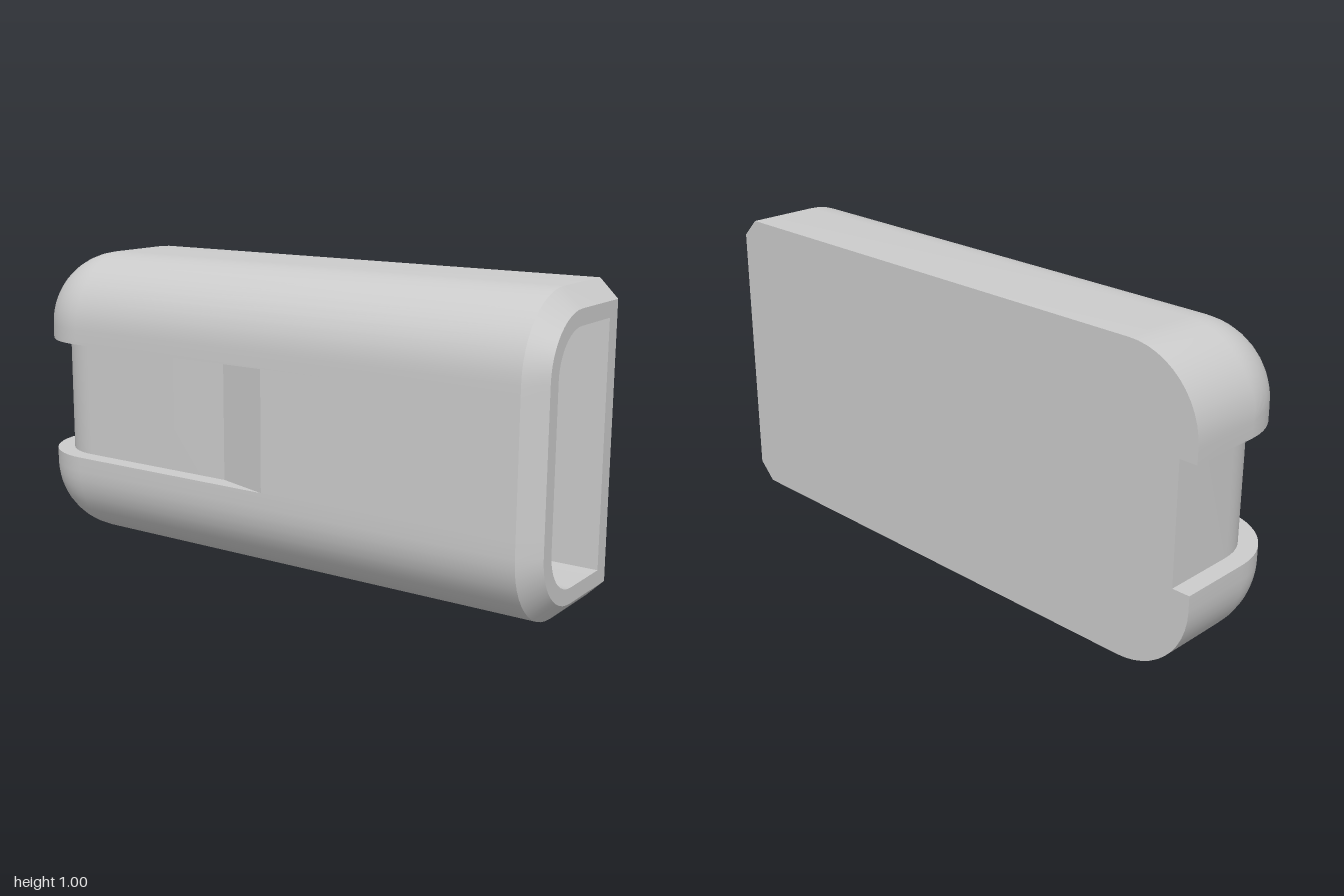
import * as THREE from 'three';
import { mergeGeometries, toCreasedNormals } from 'three/addons/utils/BufferGeometryUtils.js';

const SEG = 12;          // segments per rounded quarter
const BACK = -0.25;      // flat back plane
const SLOT = [0.3, 0.7]; // lower and upper edge of the thumb recess
const quarter = Array.from({ length: SEG + 1 }, (_, i) => (i / SEG) * Math.PI / 2);

// Skin between rows of points; each row is an equally long list of [x, y, z]
function loft(rows) {
  const pos = [];
  const tri = (...p) => {
    const [a, b, c] = p.map((q) => new THREE.Vector3(...q));
    if (b.clone().sub(a).cross(c.clone().sub(a)).length() > 1e-9) pos.push(...p.flat());
  };
  for (let i = 0; i + 1 < rows.length; i++) {
    for (let j = 0; j + 1 < rows[i].length; j++) {
      const a = rows[i][j], b = rows[i][j + 1], c = rows[i + 1][j], d = rows[i + 1][j + 1];
      tri(a, b, c);
      tri(c, b, d);
    }
  }
  const g = new THREE.BufferGeometry();
  g.setAttribute('position', new THREE.Float32BufferAttribute(pos, 3));
  return g;
}

// Mirror rows top to bottom, keeping the faces outward
const mirrorY = (rows) => rows.map((r) => r.map(([x, y, z]) => [x, 1 - y, z]).reverse());
const reversed = (rows) => rows.map((r) => [...r].reverse());

// Lower half of the cross-section: rounded front corner, then flat to the back
const halfSection = (x, r, back) => [
  ...quarter.map((t) => [x, 0.25 - r * Math.sin(t), r * Math.cos(t)]),
  [x, 0.25 - r, back],
];

// Closed cross-section made of both halves
function fullSection(x, r, back) {
  const half = halfSection(x, r, back);
  return [...half, ...mirrorY([half])[0], half[0]];
}

// Stations [x, corner radius] along the rounded closed end
const roundedEnd = (r) => quarter.map((t) => [-0.75 - r * Math.cos(t), r * Math.sin(t)]);

export function createModel() {
  const group = new THREE.Group();
  const material = new THREE.MeshStandardMaterial({ color: 0xcccccc });
  const add = (name, ...parts) => {
    const mesh = new THREE.Mesh(toCreasedNormals(mergeGeometries(parts), 0.22), material);
    mesh.name = name;
    group.add(mesh);
  };

  // Lower and upper shell with rounded end, rounded front edge and chamfered mouth
  const shell = [...roundedEnd(0.25), [0.94, 0.25], [1, 0.19]].map(([x, r]) => [
    [x, SLOT[0], r], ...halfSection(x, r, BACK), [x, SLOT[0], BACK],
  ]);
  const endFace = [0.25, SLOT[0]].map((y) => [[-1, y, BACK], [-1, y, 0]]);
  add('lowerShell', loft(shell), loft(endFace));
  add('upperShell', loft(mirrorY(shell)), loft(mirrorY(endFace)));

  // Thumb recess: sunken wall wrapping the end, with a ramp back to the surface
  const outer = [[-1, BACK], ...roundedEnd(0.25), [-0.15, 0.25], [0.045, 0.25]];
  const inner = [[-0.94, BACK], ...roundedEnd(0.19), [-0.15, 0.19], [0.045, 0.25]];
  const wall = [...inner, [0.94, 0.25], [1, 0.19]];
  const at = (line, y) => line.map(([x, z]) => [x, y, z]);
  add('recessedBand', loft(SLOT.map((y) => at(wall, y))));
  const ledge = [at(outer, SLOT[0]), at(inner, SLOT[0])];
  add('recessLowerLedge', loft(ledge));
  add('recessUpperLedge', loft(mirrorY(ledge)));
  add('backPanel', loft([-0.94, 1].map((x) => SLOT.map((y) => [x, y, BACK]))));

  // Mouth rim and the hollow inside
  add('mouthRim', loft([fullSection(1, 0.19, BACK), fullSection(1, 0.14, -0.195)]));
  const hollow = [...roundedEnd(0.14), [1, 0.14]].map(([x, r]) => fullSection(x, r, -0.195));
  const hollowEnd = [0.25, 0.75].map((y) => [[-0.89, y, -0.195], [-0.89, y, 0]]);
  add('cavity', loft(reversed(hollow)), loft(reversed(hollowEnd)));

  return group;
}
